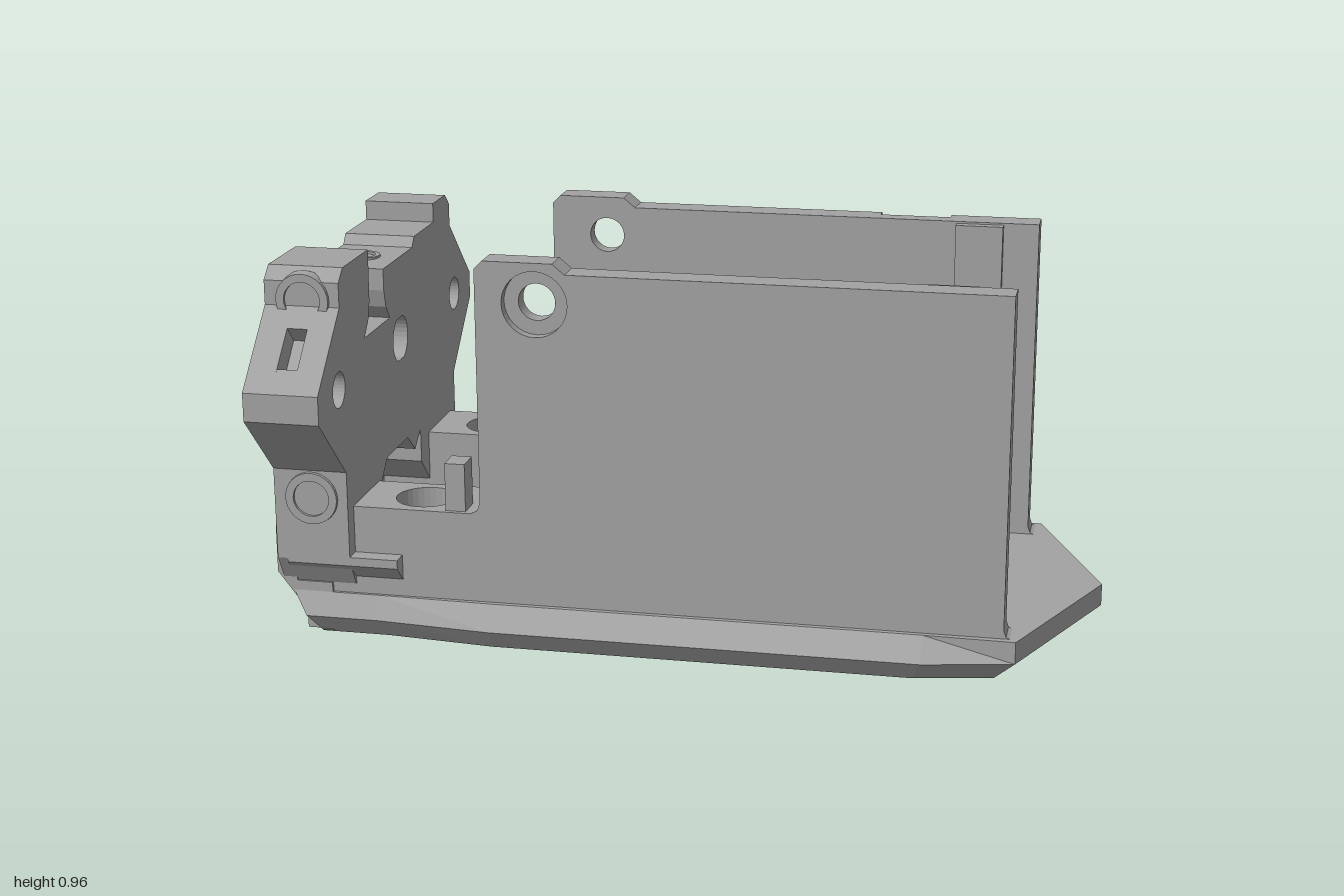
import * as THREE from 'three';

const grey = new THREE.MeshStandardMaterial({ color: 0xa2a2a2, side: THREE.DoubleSide });
grey.name = 'grey plastic';

export function createModel() {
  const model = new THREE.Group();
  model.name = 'motorCradle';

  const add = (name, geo) => {
    const flat = geo.index ? geo.toNonIndexed() : geo;
    flat.computeVertexNormals();
    const mesh = new THREE.Mesh(flat, grey);
    mesh.name = name;
    model.add(mesh);
    return mesh;
  };
  const box = (name, x0, x1, y0, y1, z0, z1) => add(name,
    new THREE.BoxGeometry(x1 - x0, y1 - y0, Math.abs(z1 - z0))
      .translate((x0 + x1) / 2, (y0 + y1) / 2, (z0 + z1) / 2));
  const circle = (x, y, r) => Array.from({ length: 32 }, (_, i) => {
    const a = i / 32 * Math.PI * 2;
    return [x + r * Math.cos(a), y + r * Math.sin(a)];
  });
  const shapeOf = (pts, holes = []) => {
    const v = p => p.map(q => new THREE.Vector2(q[0], q[1]));
    const s = new THREE.Shape(v(pts));
    holes.forEach(h => s.holes.push(new THREE.Path(v(h))));
    return s;
  };
  const extrude = (pts, holes, depth) =>
    new THREE.ExtrudeGeometry(shapeOf(pts, holes), { depth, bevelEnabled: false });

  // Extrusions along each axis; outlines are (x,y), (z,y) and (x,z)
  const alongZ = (name, pts, holes, z0, z1) =>
    add(name, extrude(pts, holes, z1 - z0).translate(0, 0, z0));
  const flip = pts => pts.map(([a, b]) => [-a, b]);
  const alongX = (name, pts, holes, x0, x1) =>
    add(name, extrude(flip(pts), holes.map(flip), x1 - x0).rotateY(Math.PI / 2).translate(x0, 0, 0));
  const alongY = (name, pts, holes, y0, y1) =>
    add(name, extrude(pts, holes, y1 - y0).rotateX(Math.PI / 2).translate(0, y1, 0));

  // Mirror a half outline across z = 0 into a closed loop
  const mirror = half => [...half,
    ...half.filter(p => p[1] !== 0).reverse().map(([x, z]) => [x, -z])];
  // Skin between stacked loops with equal point counts
  const loft = (name, rings) => {
    const pos = [];
    const n = rings[0].pts.length;
    for (let r = 0; r < rings.length - 1; r++) {
      const lo = rings[r], hi = rings[r + 1];
      for (let i = 0; i < n; i++) {
        const j = (i + 1) % n;
        const P = (g, k) => [g.pts[k][0], g.y, g.pts[k][1]];
        pos.push(...P(lo, i), ...P(hi, i), ...P(hi, j), ...P(lo, i), ...P(hi, j), ...P(lo, j));
      }
    }
    const g = new THREE.BufferGeometry();
    g.setAttribute('position', new THREE.Float32BufferAttribute(pos, 3));
    return add(name, g);
  };
  const cap = (name, pts, holes, y, down) => {
    const g = new THREE.ShapeGeometry(shapeOf(down ? pts : pts.map(([x, z]) => [x, -z]),
      down ? holes : holes.map(h => h.map(([x, z]) => [x, -z]))));
    return add(name, g.rotateX(down ? Math.PI / 2 : -Math.PI / 2).translate(0, y, 0));
  };

  // Pointed base tray with chamfered underside and a chevron-ended opening
  const bottom = mirror([[0.94, 0], [0.77, 0.4], [0.58, 0.44], [-0.45, 0.44], [-0.72, 0.415], [-0.89, 0.415]]);
  const middle = mirror([[1, 0], [0.82, 0.43], [0.6, 0.475], [-0.45, 0.475], [-0.74, 0.45], [-0.92, 0.45]]);
  const top = mirror([[1, 0], [0.82, 0.43], [0.6, 0.425], [-0.45, 0.425], [-0.74, 0.42], [-0.96, 0.42]]);
  const holeLow = mirror([[0.42, 0], [0.28, 0.34], [-0.52, 0.34]]);
  const holeHigh = mirror([[0.71, 0], [0.58, 0.34], [-0.52, 0.34]]);
  const floorScrews = [circle(-0.645, 0.31, 0.045), circle(-0.645, -0.31, 0.045)];
  loft('baseRim', [{ y: 0, pts: bottom }, { y: 0.05, pts: middle }, { y: 0.105, pts: top }]);
  loft('baseOpening', [{ y: 0.105, pts: holeHigh }, { y: 0.05, pts: holeLow }, { y: 0, pts: holeLow }]);
  cap('baseUnderside', bottom, [holeLow, ...floorScrews], 0, true);
  cap('baseTop', top, [holeHigh, ...floorScrews], 0.105, false);

  // Side walls with counterbored screw holes
  const wallStart = [[-0.52, 0.05], [-0.52, 0.33], [-0.505, 0.33], [-0.488, 0.338], [-0.48, 0.36],
    [-0.48, 0.94], [-0.46, 0.96], [-0.29, 0.96], [-0.26, 0.935]];
  const wallEnd = [[0.79, 0.935], [0.79, 0.125], [0.796, 0.109], [0.815, 0.1], [0.815, 0.05]];
  const wall = [...wallStart, ...wallEnd];
  const bore = [circle(-0.335, 0.86, 0.045)];
  const sink = [circle(-0.335, 0.86, 0.08)];
  alongZ('frontWallInner', wall, bore, 0.34, 0.385);
  alongZ('frontWallOuter', wall, sink, 0.385, 0.412);
  alongZ('backWallInner', wall, bore, -0.385, -0.34);
  alongZ('backWallOuter', [...wallStart, [0.38, 0.935], [0.38, 0.05]], sink, -0.412, -0.385);
  alongZ('backWallEnd', [[0.56, 0.05], [0.56, 0.935], ...wallEnd], [], -0.412, -0.385);

  for (const s of [1, -1]) {
    // Guide rib inside each wall and upright tab beside it
    box('wallRib', 0.58, 0.7, 0.33, 0.93, s * 0.315, s * 0.34);
    box('uprightTab', -0.57, -0.52, 0.32, 0.45, s * 0.335, s * 0.4);
    // Screw deck
    const deck = [[-0.93, s * 0.21], [-0.5, s * 0.21], [-0.5, s * 0.412], [-0.93, s * 0.412]];
    alongY('deckLower', deck, [circle(-0.645, s * 0.31, 0.045)], 0.005, 0.26);
    alongY('deckUpper', deck, [circle(-0.645, s * 0.31, 0.075)], 0.26, 0.33);
    // Side catch with sloping underside
    alongX('sideCatch', [[0.4, 0.15], [0.415, 0.15], [0.455, 0.19], [0.455, 0.212], [0.4, 0.212]]
      .map(([z, y]) => [s * z, y]), [], -0.96, -0.68);
    // Screw sockets on the ends of the panel
    for (const y of [0.855, 0.36]) {
      const ring = new THREE.LatheGeometry([[0.045, -0.02], [0.045, 0.008], [0.065, 0.008], [0.068, -0.02]]
        .map(p => new THREE.Vector2(p[0], p[1])), 32);
      add('screwSocket', ring.rotateX(s * Math.PI / 2).translate(-0.89, y, s * 0.455));
    }
  }

  // Tail block and low floor between the decks
  alongZ('tailBlock', [[-0.89, 0.005], [-1, 0.15], [-1, 0.27], [-0.985, 0.29], [-0.985, 0.33],
    [-0.95, 0.33], [-0.95, 0.13], [-0.86, 0.13], [-0.86, 0.005]], [], -0.42, 0.42);
  box('lowFloor', -0.87, -0.52, 0.05, 0.13, -0.22, 0.22);

  // Upright end panel: layered so recesses differ through the thickness
  const side = [[0.42, 0.93], [0.455, 0.9], [0.455, 0.84], [0.63, 0.67], [0.63, 0.6],
    [0.455, 0.43], [0.455, 0.2], [0.415, 0.13]];
  const slotted = [...side.slice(0, 3), [0.5, 0.796], [0.46, 0.756], [0.54, 0.676], [0.58, 0.718], ...side.slice(3)];
  const rightTop = [[-0.31, 0.93], [-0.31, 0.88], [-0.14, 0.88], [-0.12, 0.855], [0.12, 0.855]];
  const backTop = [[0.14, 0.88], [0.23, 0.88], [0.23, 0.93]];
  const frontTop = [[0.12, 0.8], [0.108, 0.755], [0.08, 0.72], [0.28, 0.72], [0.248, 0.755],
    [0.233, 0.8], [0.23, 0.93]];
  const outline = (edge, topEdge) => [...edge, ...flip(edge).reverse(), ...rightTop, ...topEdge];
  const centreHole = circle(0, 0.645, 0.06).map(([z, y]) => [z, Math.min(0.7, Math.max(0.59, y))]);
  const panelHoles = [centreHole, circle(0.48, 0.645, 0.044), circle(-0.48, 0.645, 0.044)];
  const pocket = [[0.27, 0.14], [0.27, 0.25], [0.14, 0.37], [-0.03, 0.37], [-0.09, 0.32], [-0.14, 0.36],
    [-0.14, 0.27], [-0.24, 0.17], [-0.24, 0.14]];
  alongX('panelBack', outline(side, backTop), panelHoles, -0.985, -0.95);
  for (const [x0, x1, edge] of [[-0.95, -0.915, side], [-0.915, -0.865, slotted], [-0.865, -0.8, side]])
    alongX('panelLayer', outline(edge, frontTop), [...panelHoles, pocket], x0, x1);

  // Screw collar on the panel's top edge
  const collar = new THREE.LatheGeometry([[0.03, 0], [0.03, 0.006], [0.042, 0.006], [0.042, 0]]
    .map(p => new THREE.Vector2(p[0], p[1])), 24);
  add('topCollar', collar.translate(-0.89, 0.855, 0));

  return model;
}
